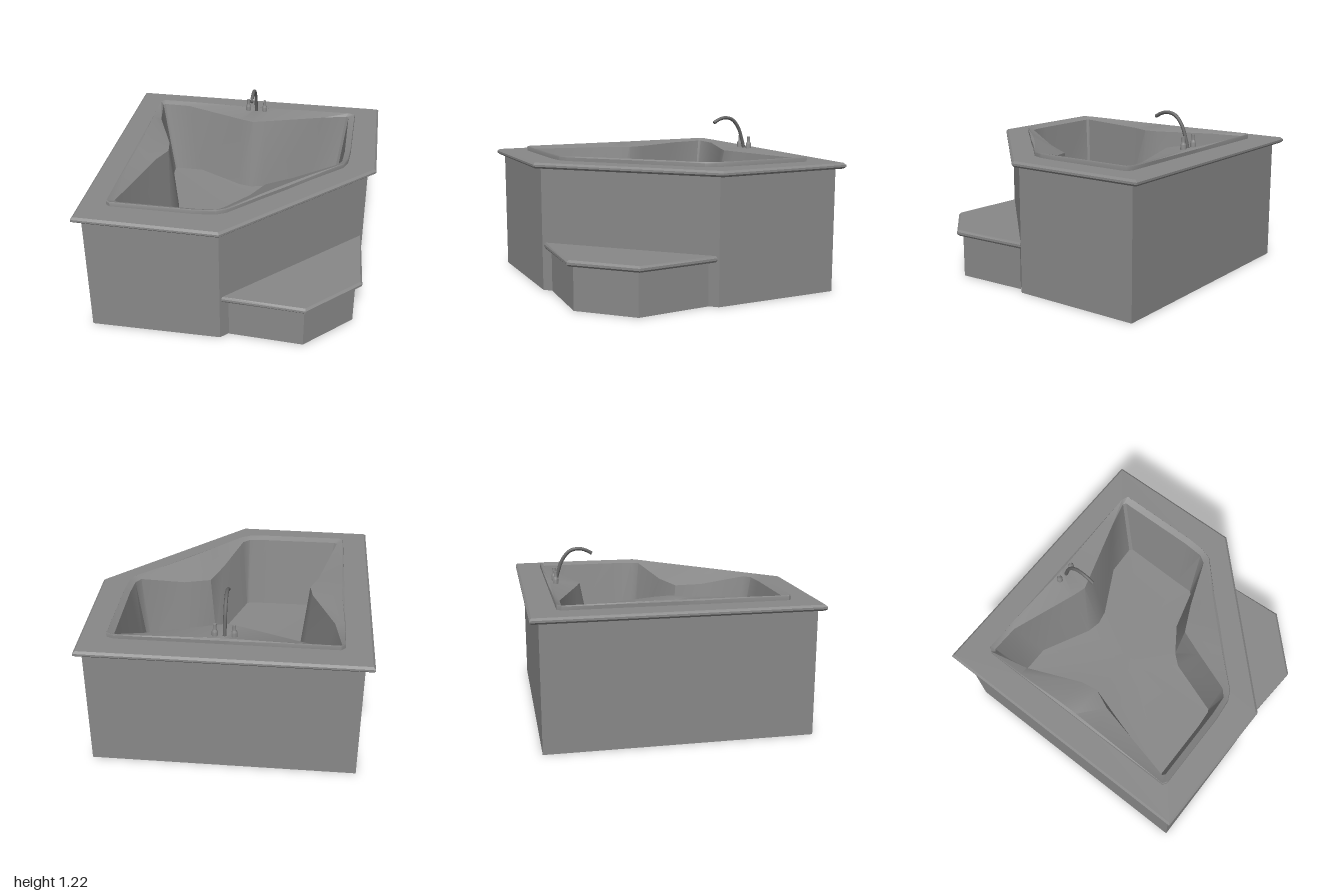
import * as THREE from 'three';
import { toCreasedNormals, mergeVertices } from 'three/addons/utils/BufferGeometryUtils.js';

const stone = new THREE.MeshStandardMaterial({ color: 0x888888, side: THREE.DoubleSide });
const metal = new THREE.MeshStandardMaterial({ color: 0x666666, side: THREE.DoubleSide });

function part(name, geometry, material = stone) {
  const mesh = new THREE.Mesh(geometry, material);
  mesh.name = name;
  return mesh;
}

// Skin closed rings of [x, y, z] points, all with the same count
function loft(rings) {
  const n = rings[0].length;
  const index = [];
  for (let r = 0; r < rings.length - 1; r++) {
    for (let i = 0; i < n; i++) {
      const j = (i + 1) % n;
      const a = r * n + i, b = a + n, c = r * n + j, d = c + n;
      index.push(a, b, c, c, b, d);
    }
  }
  const geo = new THREE.BufferGeometry();
  geo.setAttribute('position', new THREE.Float32BufferAttribute(rings.flat(2), 3));
  geo.setIndex(index);
  return toCreasedNormals(mergeVertices(geo), 0.5);
}

const ringAt = (pts, y) => pts.map(([x, z]) => [x, y, z]);
const pointRing = (n, x, y, z) => Array.from({ length: n }, () => [x, y, z]);

// Open-topped box with any outline and a closed underside
function walls(pts, height) {
  const n = pts.length;
  const cx = pts.reduce((s, p) => s + p[0], 0) / n;
  const cz = pts.reduce((s, p) => s + p[1], 0) / n;
  return loft([pointRing(n, cx, 0, cz), ringAt(pts, 0), ringAt(pts, height)]);
}

// Flat slab with a chamfered edge, optionally with an opening
function slab(pts, top, thickness, hole) {
  const toVec = (p) => new THREE.Vector2(p[0], p[1]);
  const shape = new THREE.Shape(pts.map(toVec));
  if (hole) shape.holes.push(new THREE.Path(hole.map(toVec)));
  const bevel = 0.014;
  const geo = new THREE.ExtrudeGeometry(shape, {
    depth: thickness - 2 * bevel, bevelThickness: bevel, bevelSize: 0.015, bevelSegments: 1,
  });
  geo.rotateX(Math.PI / 2);
  geo.translate(0, top - bevel, 0);
  return geo;
}

// Basin stations: rim x, z | shelf edge x, z | floor x, z | shelf height where it dips
const basin = [
  [-0.81, -0.78, -0.785, -0.76, -0.68, -0.66],
  [-0.78, -0.81, -0.77, -0.775, -0.66, -0.67],
  [-0.5, -0.81, -0.57, -0.77, -0.45, -0.67],
  [-0.1, -0.81, -0.1, -0.6, -0.1, -0.49],
  [0, -0.81, 0, -0.57, 0, -0.47],
  [0.1, -0.81, 0.1, -0.6, 0.1, -0.49],
  [0.5, -0.81, 0.55, -0.74, 0.44, -0.67],
  [0.75, -0.81, 0.73, -0.785, 0.66, -0.68],
  [0.8, -0.79, 0.75, -0.77, 0.68, -0.66],
  [0.8, -0.2, 0.755, -0.2, 0.67, -0.2],
  [0.79, -0.06, 0.745, -0.05, 0.67, -0.06],
  [0.76, 0.02, 0.71, 0.005, 0.65, -0.04],
  [0.54, 0.23, 0.4, 0.12, 0.36, 0.04, 0.88],
  [0.39, 0.385, 0.21, 0.21, 0.17, 0.17, 0.86],
  [0.23, 0.54, 0.13, 0.4, 0.1, 0.25, 0.88],
  [0.02, 0.75, 0, 0.7, -0.04, 0.65],
  [-0.05, 0.785, -0.05, 0.745, -0.06, 0.66],
  [-0.2, 0.8, -0.2, 0.755, -0.2, 0.67],
  [-0.78, 0.8, -0.74, 0.755, -0.66, 0.67],
  [-0.81, 0.78, -0.76, 0.74, -0.68, 0.66],
  [-0.81, 0.2, -0.62, 0.14, -0.53, 0.14],
  [-0.81, 0, -0.56, 0, -0.5, 0],
  [-0.81, -0.14, -0.58, -0.12, -0.53, -0.12],
  [-0.81, -0.5, -0.74, -0.5, -0.67, -0.5],
];

export function createModel() {
  const model = new THREE.Group();
  model.name = 'cornerBathtub';

  // Surround with one corner cut off
  model.add(part('surround', walls(
    [[-0.94, -0.94], [0.94, -0.94], [0.94, 0], [0, 0.94], [-0.94, 0.94]], 0.91)));

  // Deck on top with the opening for the tub
  const rim = basin.map((b) => [b[0], b[1]]);
  const floor = basin.map((b) => [b[4], b[5]]);
  model.add(part('deck', slab(
    [[-0.985, -0.985], [0.97, -0.985], [0.985, 0.003], [0.008, 0.985], [-0.985, 0.97]],
    0.942, 0.042, rim)));

  // Tub: raised lip, shelf, walls and floor
  const lip = basin.map((b) => [b[0] + (b[2] - b[0]) * 0.08, b[1] + (b[3] - b[1]) * 0.08]);
  const edge = basin.map((b) => [b[2], b[6] ?? 0.955, b[3]]);
  model.add(part('tub', loft([
    ringAt(rim, 0.93), ringAt(rim, 0.968), ringAt(lip, 0.976), edge,
    ringAt(floor, 0.41), pointRing(basin.length, -0.07, 0.39, -0.09),
  ])));

  // Step in front of the cut corner
  const step = new THREE.Group();
  step.name = 'step';
  step.add(part('stepBase', walls([[0.89, 0.055], [0.92, 0.59], [0.59, 0.92], [0.055, 0.89]], 0.32)));
  step.add(part('stepTread', slab(
    [[0.922, 0.016], [0.953, 0.597], [0.597, 0.953], [0.016, 0.922]], 0.356, 0.044)));
  model.add(step);

  // Curved spout
  const path = new THREE.CatmullRomCurve3([
    [0.94, -0.755], [1.03, -0.732], [1.13, -0.695], [1.195, -0.64],
    [1.212, -0.575], [1.2, -0.52], [1.175, -0.475],
  ].map(([y, z]) => new THREE.Vector3(0, y, z)));
  const faucet = new THREE.Group();
  faucet.name = 'faucet';
  faucet.add(part('spout', new THREE.TubeGeometry(path, 24, 0.013, 10), metal));
  const tip = part('spoutTip', new THREE.CircleGeometry(0.013, 10), metal);
  tip.position.copy(path.getPoint(1));
  tip.lookAt(path.getPoint(1).add(path.getTangent(1)));
  faucet.add(tip);

  // Pair of tap handles
  const profile = [[0.021, 0.94], [0.021, 1.005], [0.012, 1.022], [0.012, 1.062], [0, 1.062]]
    .map(([r, y]) => new THREE.Vector2(r, y));
  for (const side of [-1, 1]) {
    const tap = part(side > 0 ? 'leftTap' : 'rightTap',
      toCreasedNormals(new THREE.LatheGeometry(profile, 12), 0.6));
    tap.position.set(side * 0.066, 0, -0.752);
    faucet.add(tap);
  }
  model.add(faucet);
  return model;
}
